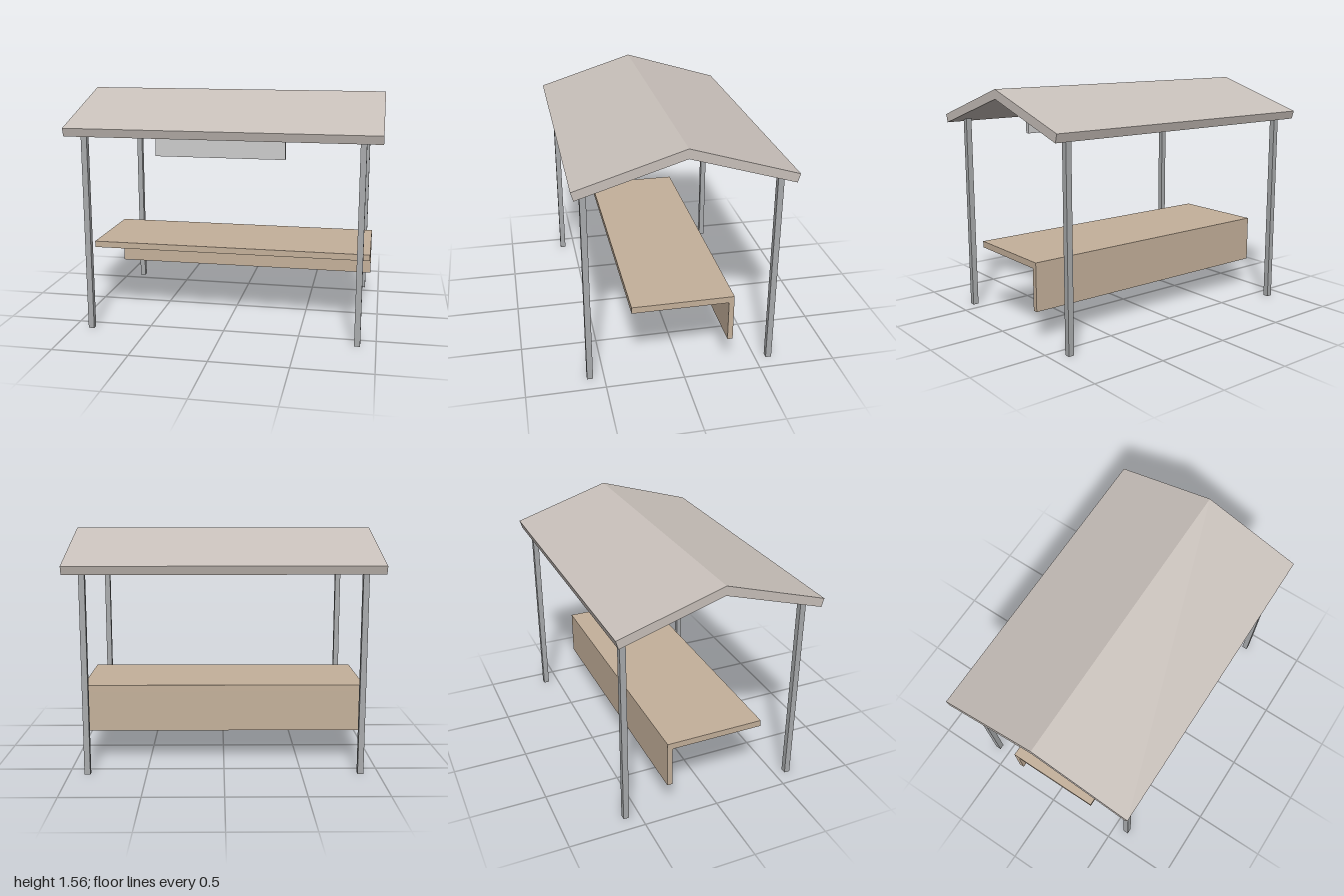
import * as THREE from 'three';

const material = (color) => new THREE.MeshStandardMaterial({ color });

// Extrudes a [z, y] cross-section along x, centred on x = 0
function prism(name, points, length, mat) {
  const shape = new THREE.Shape(points.map(([z, y]) => new THREE.Vector2(-z, y)));
  const geometry = new THREE.ExtrudeGeometry(shape, { depth: length, bevelEnabled: false });
  geometry.translate(0, 0, -length / 2);
  geometry.rotateY(Math.PI / 2);
  const mesh = new THREE.Mesh(geometry, mat);
  mesh.name = name;
  return mesh;
}

// Box given by its size and centre
function box(name, size, centre, mat) {
  const mesh = new THREE.Mesh(new THREE.BoxGeometry(...size), mat);
  mesh.position.set(...centre);
  mesh.name = name;
  return mesh;
}

export function createModel() {
  const group = new THREE.Group();
  group.name = 'marketStall';
  const roofMat = material(0xc8c0ba);
  const postMat = material(0xa8aaac);
  const woodMat = material(0xc4b09a);
  const panelMat = material(0xcccccc);

  // Gabled roof: two sloping slabs meeting at the ridge
  group.add(prism('roof', [
    [0.667, 1.35], [0, 1.556], [-0.667, 1.35],
    [-0.651, 1.296], [0, 1.495], [0.651, 1.296],
  ], 2, roofMat));

  // Four corner posts, running up into the roof slabs
  const posts = new THREE.Group();
  posts.name = 'posts';
  for (const x of [-0.882, 0.882]) {
    for (const z of [-0.59, 0.59]) {
      posts.add(box('post', [0.038, 1.33, 0.038], [x, 0.665, z], postMat));
    }
  }
  group.add(posts);

  // Counter top with an apron hanging from its back edge
  const counter = new THREE.Group();
  counter.name = 'counter';
  counter.add(box('counterTop', [1.88, 0.042, 0.65], [0, 0.502, 0], woodMat));
  counter.add(box('counterApron', [1.88, 0.272, 0.034], [0, 0.345, -0.308], woodMat));
  group.add(counter);

  // Blank sign panel under the front eave
  group.add(box('signPanel', [0.82, 0.155, 0.03], [0, 1.2575, 0.59], panelMat));

  return group;
}
